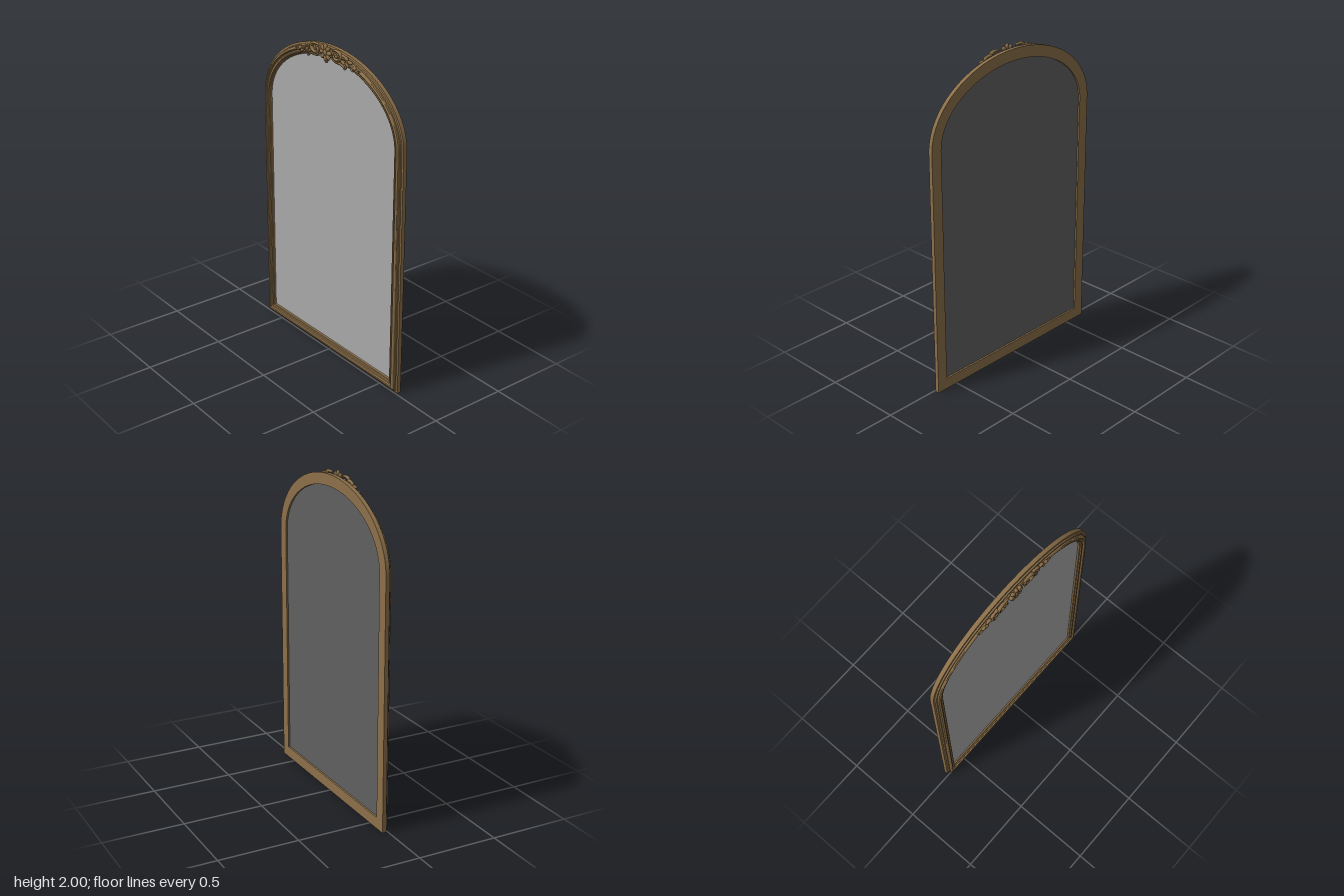
import * as THREE from 'three';
import { toCreasedNormals } from 'three/addons/utils/BufferGeometryUtils.js';

const SPRING = 1.53, HALF = 0.65, RISE = 0.45;

// Arched outline, inset by d, counterclockwise from the lower left corner
function outline(d, steps = 48) {
  const pts = [[-(HALF - d), d], [HALF - d, d]];
  for (let i = 0; i <= steps; i++) {
    const a = (i / steps) * Math.PI;
    pts.push([Math.cos(a) * (HALF - d), SPRING + Math.sin(a) * (RISE - d)]);
  }
  return pts;
}

// Closed moulding profile (inset, z) swept round the outline
function mouldingGeometry(profile) {
  const loops = profile.map(([d]) => outline(d));
  const n = loops[0].length, m = profile.length;
  const pos = [], idx = [];
  loops.forEach((loop, j) => loop.forEach(([x, y]) => pos.push(x, y, profile[j][1])));
  for (let j = 0; j < m; j++) {
    for (let i = 0; i < n; i++) {
      const k = (j + 1) % m, l = (i + 1) % n;
      const a = j * n + i, b = j * n + l, c = k * n + l, e = k * n + i;
      idx.push(a, b, c, a, c, e);
    }
  }
  const g = new THREE.BufferGeometry();
  g.setAttribute('position', new THREE.Float32BufferAttribute(pos, 3));
  g.setIndex(idx);
  return toCreasedNormals(g, 0.4);
}

// Tube whose radius follows taper(t)
function taperedTube(points, radius, taper) {
  const n = 40, sides = 8;
  const curve = new THREE.CatmullRomCurve3(points.map((p) => new THREE.Vector3(...p)));
  const g = new THREE.TubeGeometry(curve, n, radius, sides);
  const p = g.attributes.position, v = new THREE.Vector3();
  for (let i = 0; i <= n; i++) {
    const c = curve.getPointAt(i / n);
    for (let j = 0; j <= sides; j++) {
      const k = i * (sides + 1) + j;
      v.fromBufferAttribute(p, k).sub(c).multiplyScalar(taper(i / n)).add(c);
      p.setXYZ(k, v.x, v.y, v.z);
    }
  }
  g.computeVertexNormals();
  return g;
}

export function createModel() {
  const model = new THREE.Group();
  const gilt = new THREE.MeshStandardMaterial({ color: 0x8b6f49 });
  gilt.name = 'antique gold';
  const silver = new THREE.MeshStandardMaterial({ color: 0xa8a8a8 });
  silver.name = 'mirror silver';
  const backing = new THREE.MeshStandardMaterial({ color: 0x606060 });
  backing.name = 'dark backing';

  const add = (parent, name, geometry, material) => {
    const mesh = new THREE.Mesh(geometry, material);
    mesh.name = name;
    parent.add(mesh);
    return mesh;
  };

  // Stepped frame moulding
  add(model, 'frame', mouldingGeometry([
    [0, -0.035], [0, -0.01], [0.012, -0.009], [0.014, 0], [0.02, 0.002], [0.023, 0.01],
    [0.028, 0.014], [0.034, 0.015], [0.039, 0.012], [0.042, 0.003], [0.05, 0.002],
    [0.053, 0.007], [0.058, 0.007], [0.061, 0], [0.066, -0.003], [0.07, -0.012], [0.07, -0.035],
  ]), gilt);

  // Glass and backing panel
  const paneShape = new THREE.Shape(outline(0.066).map(([x, y]) => new THREE.Vector2(x, y)));
  add(model, 'mirrorGlass', new THREE.ShapeGeometry(paneShape), silver).position.z = -0.012;
  const back = add(model, 'backPanel', new THREE.ShapeGeometry(paneShape), backing);
  back.rotation.y = Math.PI;
  back.position.z = -0.024;

  // Carved crest
  const crest = new THREE.Group();
  crest.name = 'crest';
  model.add(crest);

  const blob = (name, x, y, z, rx, ry, rz, angle = 0) => {
    const mesh = add(crest, name, new THREE.SphereGeometry(1, 16, 10), gilt);
    mesh.position.set(x, y, z);
    mesh.scale.set(rx, ry, rz);
    mesh.rotation.z = angle;
  };

  // Central rosette
  const cy = 1.948;
  for (let i = 0; i < 8; i++) {
    const a = (i / 8) * Math.PI * 2 + Math.PI / 2;
    blob('petal', Math.cos(a) * 0.033, cy + Math.sin(a) * 0.033, 0.022, 0.019, 0.013, 0.012, a);
  }
  blob('rosetteCentre', 0, cy, 0.024, 0.017, 0.017, 0.011);
  blob('rosetteDrop', 0, 1.9, 0.016, 0.012, 0.016, 0.01);

  for (const s of [1, -1]) {
    const scroll = (name, pts, z, r, taper) =>
      add(crest, name, taperedTube(pts.map(([x, y]) => [s * x, y, z]), r, taper), gilt);

    // Large C scroll curling in towards the rosette
    scroll('largeScroll', [[0.092, 1.95], [0.082, 1.958], [0.073, 1.948], [0.08, 1.932], [0.103, 1.927],
      [0.128, 1.938], [0.137, 1.96], [0.118, 1.976], [0.088, 1.979], [0.062, 1.975]],
    0.02, 0.011, (t) => 0.55 + 0.5 * Math.sin(Math.PI * t));
    blob('scrollEye', s * 0.096, 1.947, 0.02, 0.01, 0.01, 0.01);

    // Lower S scroll dropping over the inner edge
    scroll('lowerScroll', [[0.06, 1.925], [0.09, 1.912], [0.125, 1.911], [0.152, 1.904], [0.168, 1.891],
      [0.178, 1.9], [0.168, 1.91]], 0.017, 0.009, (t) => 1 - 0.4 * t);

    // Trailing stem and curled end
    scroll('trailingStem', [[0.13, 1.945], [0.165, 1.95], [0.2, 1.935], [0.235, 1.913], [0.265, 1.902],
      [0.288, 1.902], [0.285, 1.912]], 0.015, 0.01, (t) => 1 - 0.55 * t);

    // Acanthus leaves along the stem
    [[0.15, 1.963, 0.024, -0.1], [0.178, 1.956, 0.02, -0.5], [0.185, 1.922, 0.022, -0.8],
      [0.212, 1.94, 0.02, -0.2], [0.228, 1.905, 0.018, -0.7], [0.25, 1.916, 0.016, -0.2],
      [0.15, 1.925, 0.022, -0.4]].forEach(([x, y, len, a]) =>
      blob('leaf', s * x, y, 0.015, len, 0.009, 0.01, s * a));
  }
  return model;
}
